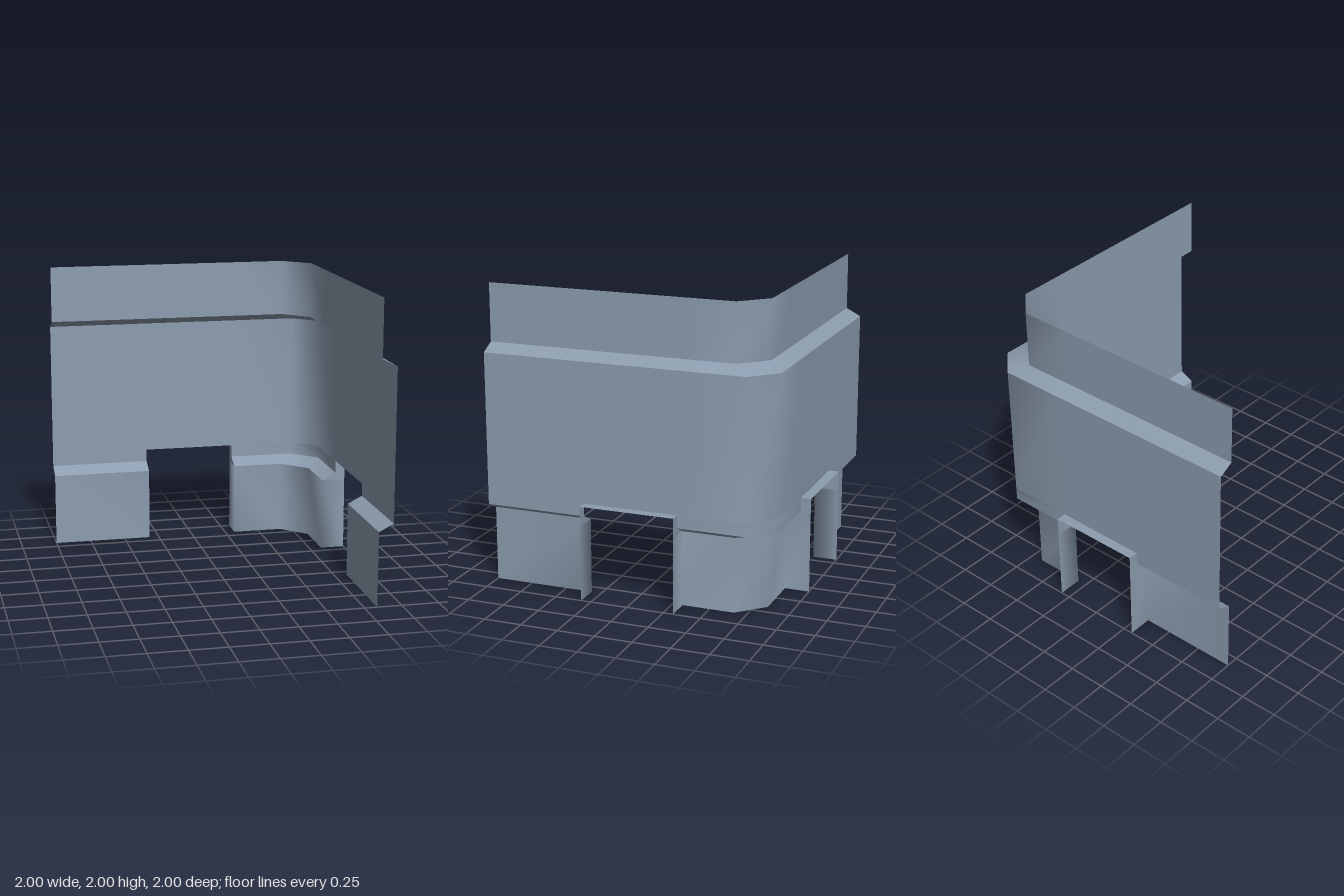
import * as THREE from 'three';

const INNER = { d: 0.835, c: 0.665 };  // recessed wall line and where its corner chamfer starts
const OUTER = { d: 0.933, c: 0.765 };  // projecting wall line
const DOOR = 0.317, DOOR_TOP = 0.635, FRAME = 1;

// Plan outlines as [x, z] points, running along the back wall and round to the left wall
const full = ({ d, c }) => [[-1, -d], [-DOOR, -d], [DOOR, -d], [c, -d], [d, -c], [d, -DOOR], [d, DOOR], [d, 1]];
const walls = [
  (p) => full(p).slice(0, 2),
  (p) => full(p).slice(2, 6),
  (p) => full(p).slice(6, 8),
];
const jambs = [
  ({ d }) => [[-DOOR, -d], [-DOOR, -FRAME]],
  ({ d }) => [[DOOR, -FRAME], [DOOR, -d]],
  ({ d }) => [[d, -DOOR], [FRAME, -DOOR]],
  ({ d }) => [[FRAME, DOOR], [d, DOOR]],
];
// Wall pieces joined to their door jambs
const wallsWithJambs = [
  (p) => [...walls[0](p), [-DOOR, -FRAME]],
  (p) => [[DOOR, -FRAME], ...walls[1](p), [FRAME, -DOOR]],
  (p) => [[FRAME, DOOR], ...walls[2](p)],
];

// Sheet between a lower and an upper outline, outside face forward
function sheet(lower, y0, upper, y1) {
  const pos = [], index = [];
  lower.forEach(([x, z], i) => {
    pos.push(x, y0, z, upper[i][0], y1, upper[i][1]);
    if (i > 0) {
      const a = 2 * i - 2;
      index.push(a, a + 1, a + 2, a + 1, a + 3, a + 2);
    }
  });
  const g = new THREE.BufferGeometry();
  g.setAttribute('position', new THREE.Float32BufferAttribute(pos, 3));
  g.setIndex(index);
  g.computeVertexNormals();
  return g;
}

export function createModel() {
  const group = new THREE.Group();
  const metal = new THREE.MeshStandardMaterial({ color: 0x8c9cae, side: THREE.DoubleSide });
  metal.name = 'blueGreyMetal';

  const band = (name, outlines, p0, y0, p1, y1) => outlines.forEach((outline) => {
    const mesh = new THREE.Mesh(sheet(outline(p0), y0, outline(p1), y1), metal);
    mesh.name = name;
    group.add(mesh);
  });

  // Recessed base, its jambs blending into the wall
  band('base', wallsWithJambs, INNER, 0, INNER, 0.5);

  // Lower ledge and the wall beside the doorways
  band('lowerLedge', walls, INNER, 0.5, OUTER, 0.55);
  band('doorSideWall', walls, OUTER, 0.55, OUTER, DOOR_TOP);
  band('upperJamb', jambs, INNER, 0.5, OUTER, 0.55);
  band('upperJamb', jambs, OUTER, 0.55, OUTER, DOOR_TOP);

  // Main wall, upper ledge and recessed parapet
  band('mainWall', [full], OUTER, DOOR_TOP, OUTER, 1.565);
  band('upperLedge', [full], OUTER, 1.565, INNER, 1.615);
  band('parapet', [full], INNER, 1.615, INNER, 2);

  // Flat lintels over the two doorways
  for (const side of ['back', 'left']) {
    const g = new THREE.PlaneGeometry(2 * DOOR, FRAME - OUTER.d);
    g.rotateX(-Math.PI / 2).translate(0, DOOR_TOP, -(FRAME + OUTER.d) / 2);
    if (side === 'left') g.rotateY(-Math.PI / 2);
    const lintel = new THREE.Mesh(g, metal);
    lintel.name = side + 'Lintel';
    group.add(lintel);
  }
  return group;
}
